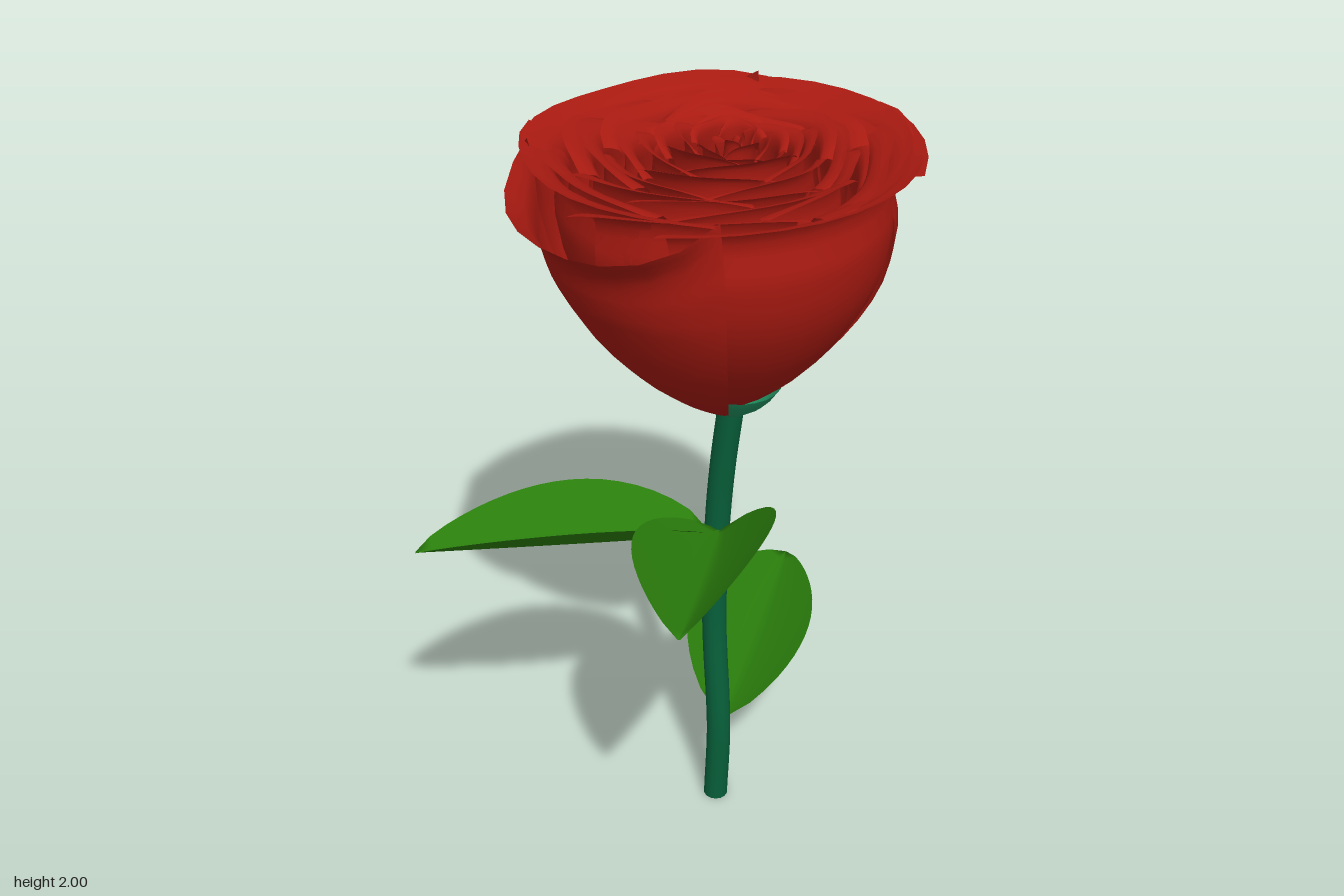
import * as THREE from 'three';
import { ParametricGeometry } from 'three/addons/geometries/ParametricGeometry.js';

const V = (x, y, z) => new THREE.Vector3(x, y, z);
const mat = (color) => new THREE.MeshStandardMaterial({ color, side: THREE.DoubleSide });
const RED = mat(0xa81a11), LEAF = mat(0x2a7d0c), STEM = mat(0x07603a), CUP = mat(0x209060);

function add(parent, name, geometry, material) {
  const mesh = new THREE.Mesh(geometry, material);
  mesh.name = name;
  parent.add(mesh);
}

// Petal outlines as (radius, height) from base to lip
const curve = (pts) => new THREE.SplineCurve(pts.map(([r, y]) => new THREE.Vector2(r, y)));
const BODY = [[0.05, 1.3], [0.13, 1.355], [0.225, 1.44], [0.315, 1.55], [0.38, 1.67]];
const TALL = curve([...BODY, [0.405, 1.79], [0.395, 1.88], [0.415, 1.93], [0.475, 1.955]]);
const FOLDED = curve([...BODY, [0.4, 1.73], [0.408, 1.77], [0.425, 1.81], [0.475, 1.86]]);
const UPRIGHT = curve([...BODY, [0.408, 1.79], [0.41, 1.86], [0.412, 1.92], [0.416, 1.965]]);

// Petal around angle a; s scales it inwards, corners follow a second outline, ruffle waves the lip
function petal({ a, half, s = 1, top = 1.955, mid = TALL, corner = TALL, droop = 0.015, twist = 0.02, ruffle = 0 }) {
  return new ParametricGeometry((u, v, p) => {
    const w = 2 * u - 1, k = Math.abs(w) ** 3, lip = v ** 4;
    const q = mid.getPoint(v).lerp(corner.getPoint(v), k);
    const wave = ruffle * lip * Math.sin(4 * w + 5 * a);
    const r = q.x * s * (1 + twist * w) + wave;
    const y = top - (1.955 - q.y) * (0.4 + 0.6 * s) - droop * k * lip + 0.5 * wave;
    const ang = a + w * half, c = v * (1 - s);
    p.set(0.035 - 0.025 * v + 0.03 * c + r * Math.cos(ang), y, 0.025 - 0.02 * v + 0.045 * c + r * Math.sin(ang));
  }, 10, 18);
}

// Leaf folded along a straight midrib; each half rises to its edge by its own amount
function leaf(base, tip, high, low, width = 0.165) {
  const side = V(tip.z - base.z, 0, base.x - tip.x).normalize();
  return new ParametricGeometry((u, t, p) => {
    const w = 2 * u - 1;
    const spread = Math.max(0, Math.sin(Math.PI * t ** 0.8)) ** 0.75;
    p.lerpVectors(base, tip, t).addScaledVector(side, w * (0.003 + width * spread));
    p.y += spread * (w > 0 ? high : low) * Math.abs(w) ** 1.2;
  }, 10, 18);
}

export function createModel() {
  const model = new THREE.Group();
  model.name = 'flower';

  // Gently bent stem with a closed foot
  const path = new THREE.CatmullRomCurve3([
    [0, -0.027], [0.25, -0.014], [0.6, -0.033], [0.9, -0.022], [1.1, 0], [1.3, 0.034],
  ].map(([y, z]) => V(0.038, y, z)));
  add(model, 'stem', new THREE.TubeGeometry(path, 30, 0.033, 14), STEM);
  const foot = new THREE.CircleGeometry(0.033, 14).rotateX(Math.PI / 2).translate(0.038, 0.001, -0.027);
  add(model, 'stemFoot', foot, STEM);

  // Cup under the petals, narrower from side to side
  const cup = [[0.001, 1.272], [0.055, 1.28], [0.1, 1.312], [0.125, 1.338], [0.142, 1.362]];
  add(model, 'cup', new THREE.LatheGeometry(cup.map(([r, y]) => new THREE.Vector2(r, y)), 24)
    .scale(0.85, 1, 1).translate(0.035, 0, 0.025), CUP);

  // Leaves
  const leaves = new THREE.Group();
  leaves.name = 'leaves';
  model.add(leaves);
  add(leaves, 'lowerLeaf', leaf(V(0.06, 0.25, -0.03), V(0.655, 0.325, -0.455), 0.135, 0.085), LEAF);
  add(leaves, 'rightLeaf', leaf(V(0.02, 0.885, -0.02), V(-0.66, 0.95, -0.34), 0.14, 0.085), LEAF);
  add(leaves, 'frontLeaf', leaf(V(0.03, 0.91, 0), V(-0.48, 1.09, 0.49), 0.165, 0.095), LEAF);

  // Outer petals: two folded low at the right and back, the others tall
  const bloom = new THREE.Group();
  bloom.name = 'bloom';
  model.add(bloom);
  const P = Math.PI;
  for (const a of [P, -P / 2])
    add(bloom, 'foldedPetal', petal({
      a, half: 0.92, s: 1.02, top: a > 0 ? 1.945 : 1.965, mid: FOLDED, corner: UPRIGHT, droop: 0, twist: 0.012,
    }), RED);
  for (const a of [0.02, P / 2])
    add(bloom, 'outerPetal', petal({ a, half: 0.95, s: 0.985, twist: 0.015 }), RED);
  for (const a of [P * 1.02, -P / 2, P / 4])
    add(bloom, 'secondPetal', petal({ a, half: 0.95, s: 0.93, top: 1.965, ruffle: 0.01 }), RED);

  // Inner petals packed in a spiral towards the heart
  const count = 46;
  for (let i = 0; i < count; i++) {
    const t = i / (count - 1), s = 0.9 - 0.87 * t;
    const top = 1.995 - 0.04 * s * s - 0.012 * (i % 3);
    add(bloom, 'innerPetal', petal({
      a: i * 2.39996, half: 0.65 + 0.35 * t, s, top, droop: 0.03, twist: 0.07, ruffle: 0.004 + 0.014 * s,
    }), RED);
  }
  return model;
}
